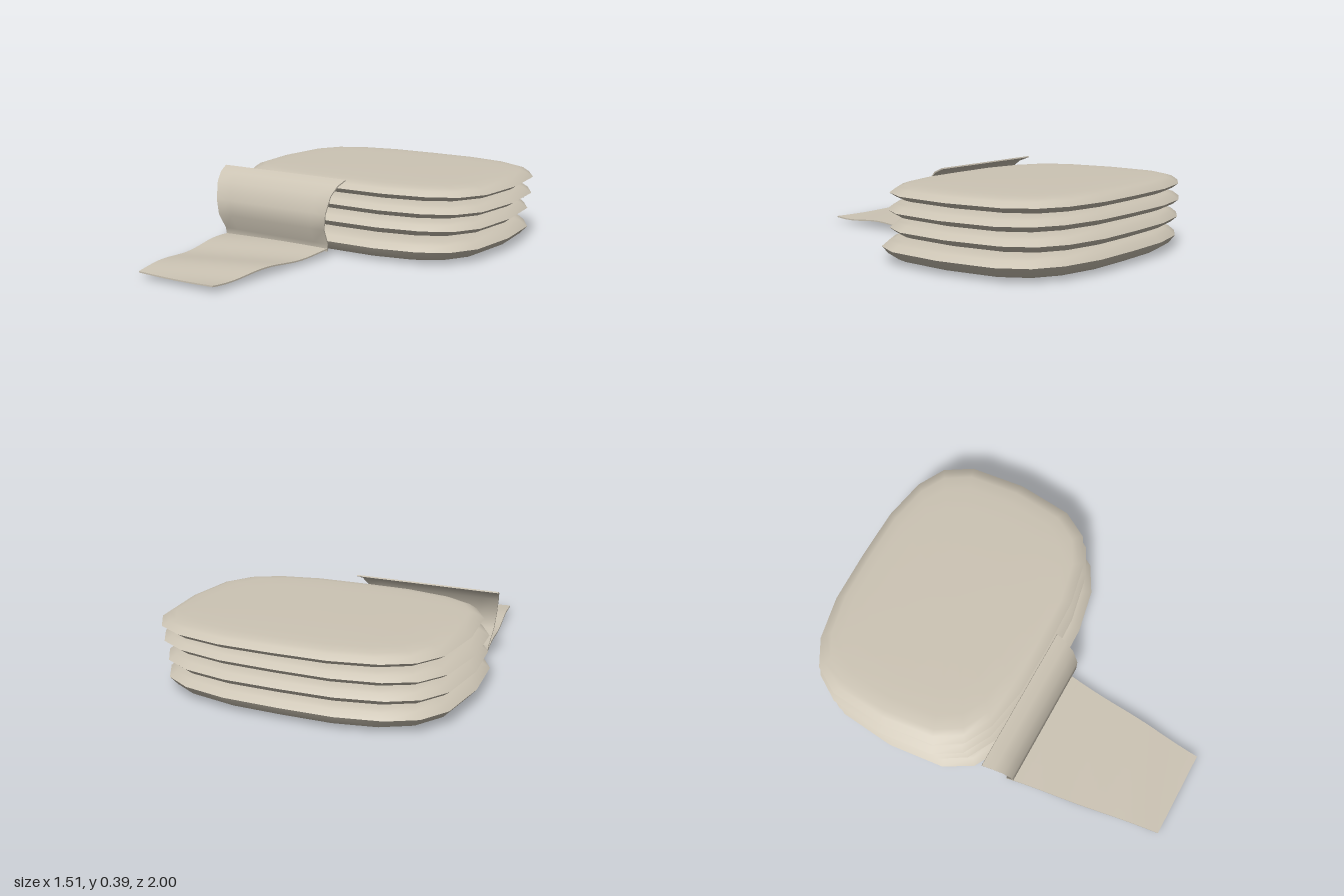
import * as THREE from 'three';

const material = new THREE.MeshStandardMaterial({ color: 0xccc4b4, side: THREE.DoubleSide });

// Cushion outline: one quarter, mirrored into a closed loop of 20 points
const quarter = [[1, 0], [0.96, 0.52], [0.85, 0.77], [0.665, 0.91], [0.365, 0.99], [0, 1]];
const outline = [
  ...quarter.slice(0, 5),
  ...quarter.slice(1).reverse().map(([x, z]) => [-x, z]),
  ...quarter.slice(0, 5).map(([x, z]) => [-x, -z]),
  ...quarter.slice(1).reverse().map(([x, z]) => [x, -z]),
];

// Rings from the rim inwards: [inset as a fraction of the half width, height fraction]
const rings = [[0, 0], [0.045, 0.55], [0.09, 0.78], [0.18, 0.91], [0.35, 0.97], [0.65, 1]];

// Half a cushion, from the sharp rim to the middle of its face
function halfCushion(halfX, halfZ, height) {
  const pos = [], index = [], n = outline.length;
  for (const [inset, h] of rings) {
    for (const [x, z] of outline) {
      pos.push(x * halfX * (1 - inset), h * height, z * halfZ * (1 - inset));
    }
  }
  pos.push(0, height, 0);
  const centre = rings.length * n;
  const tri = (a, b, c) => (height > 0 ? index.push(a, b, c) : index.push(a, c, b));
  for (let i = 0; i < n; i++) {
    const j = (i + 1) % n;
    for (let r = 0; r < rings.length - 1; r++) {
      const a = r * n + i, b = r * n + j;
      tri(a, a + n, b);
      tri(b, a + n, b + n);
    }
    tri(centre, centre - n + j, centre - n + i);
  }
  const g = new THREE.BufferGeometry();
  g.setAttribute('position', new THREE.Float32BufferAttribute(pos, 3));
  g.setIndex(index);
  g.computeVertexNormals();
  return g;
}

// Thin sheet: a slab whose vertices are moved by place(u 0..1, v 0..1, offset)
function sheet(name, nu, nv, thickness, place) {
  const g = new THREE.BoxGeometry(1, 1, 1, nu, 1, nv);
  const p = g.attributes.position;
  for (let i = 0; i < p.count; i++) {
    p.setXYZ(i, ...place(p.getX(i) + 0.5, p.getZ(i) + 0.5, p.getY(i) * thickness));
  }
  g.computeVertexNormals();
  const mesh = new THREE.Mesh(g, material);
  mesh.name = name;
  return mesh;
}

export function createModel() {
  const model = new THREE.Group();
  model.name = 'cushionStack';

  // Four stacked cushions, each slightly shifted:
  // x, rim y, z, half width, half depth, height above and below the rim, turn
  const layers = [
    [-0.005, 0.07, -0.41, 0.75, 0.565, 0.05, 0.068, 0],
    [-0.01, 0.165, -0.437, 0.745, 0.547, 0.047, 0.045, 0.01],
    [-0.002, 0.253, -0.44, 0.757, 0.545, 0.043, 0.041, -0.01],
    [0.01, 0.335, -0.453, 0.745, 0.543, 0.042, 0.039, 0.01],
  ];
  layers.forEach(([x, y, z, hx, hz, up, down, turn], i) => {
    const cushion = new THREE.Group();
    cushion.name = 'cushion' + (i + 1);
    const top = new THREE.Mesh(halfCushion(hx, hz, up), material);
    const bottom = new THREE.Mesh(halfCushion(hx, hz, -down), material);
    top.name = 'cushionTop';
    bottom.name = 'cushionBottom';
    cushion.add(top, bottom);
    cushion.position.set(x, y, z);
    cushion.rotation.y = turn;
    model.add(cushion);
  });

  // Curled flap standing in front: [left x, right x, y, z] from top edge to fold
  const curl = [
    [-0.687, 0.083, 0.385, 0.107], [-0.674, 0.073, 0.362, 0.163],
    [-0.659, 0.062, 0.318, 0.21], [-0.642, 0.051, 0.23, 0.242],
    [-0.63, 0.043, 0.15, 0.242], [-0.619, 0.036, 0.07, 0.2],
    [-0.613, 0.033, 0.03, 0.199],
  ];
  const last = curl.length - 1;
  model.add(sheet('curledFlap', 8, last, 0.007, (u, v, off) => {
    const k = Math.round(v * last), c = curl[k];
    const a = curl[Math.max(k - 1, 0)], b = curl[Math.min(k + 1, last)];
    const ty = b[2] - a[2], tz = b[3] - a[3], len = Math.hypot(ty, tz);
    return [THREE.MathUtils.lerp(c[0], c[1], u), c[2] + off * tz / len, c[3] - off * ty / len];
  }));

  // Tapered, gently rippled tongue lying on the ground
  model.add(sheet('flatTongue', 10, 20, 0.007, (u, v, off) => {
    const x = THREE.MathUtils.lerp(
      THREE.MathUtils.lerp(-0.613, -0.495, v), THREE.MathUtils.lerp(0.033, -0.045, v), u);
    const ripple = 0.008 * Math.sin(v * 10 + u * 2.2);
    return [x, 0.035 + ripple + off, 0.2 + 0.8 * v];
  }));

  return model;
}
